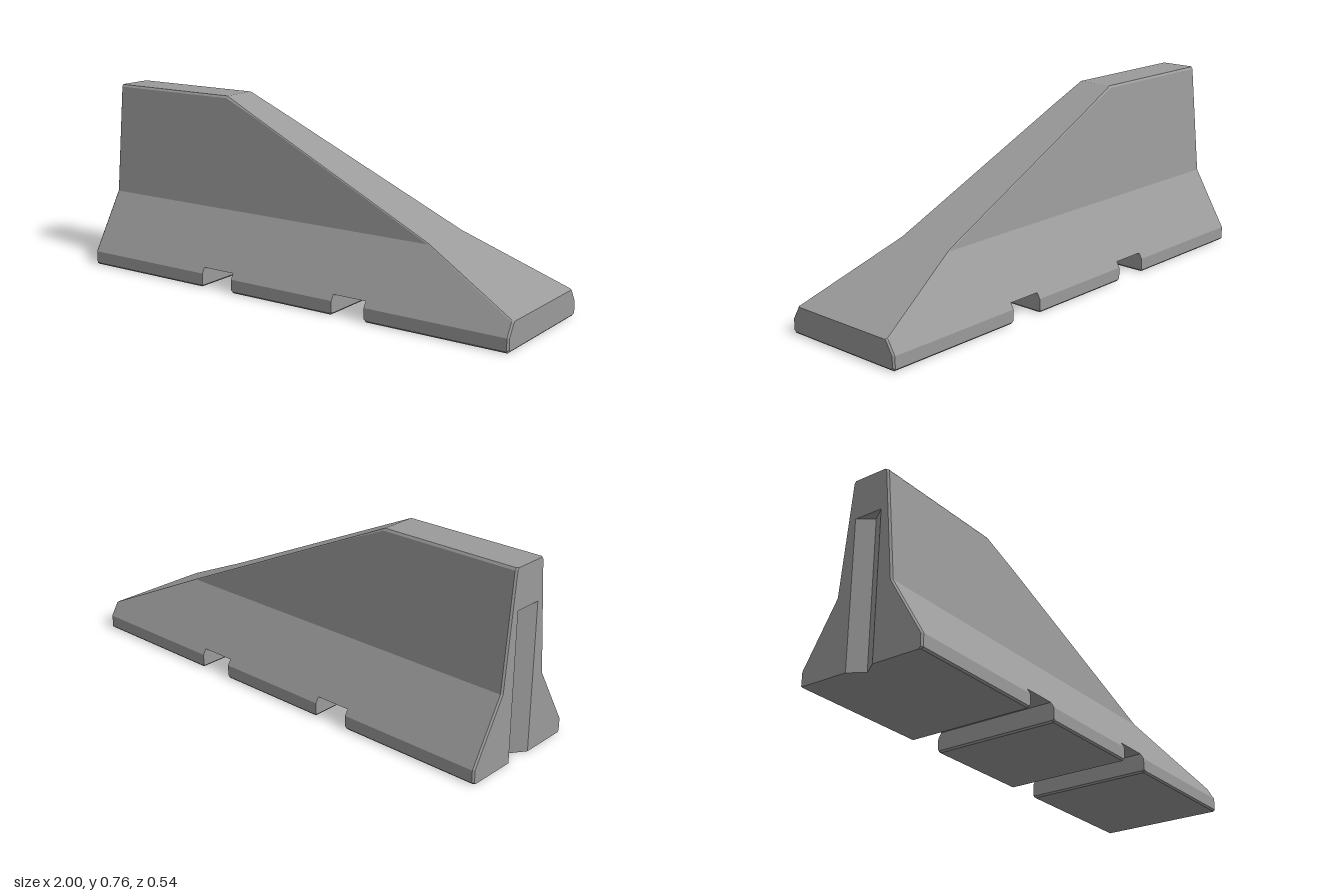
import * as THREE from 'three';

const HEIGHT = 0.763;
const BEVEL = 0.007;
const BEND = -0.41; // where the level top starts to slope down
const SLOPE = 0.463;
const CHANNEL_TOP = 0.08;

// half width of the barrier at height y
function halfWidth(y) {
  if (y <= 0.057) return 0.272;
  if (y <= 0.3) return THREE.MathUtils.mapLinear(y, 0.057, 0.3, 0.272, 0.127);
  return THREE.MathUtils.mapLinear(y, 0.3, HEIGHT, 0.127, 0.082);
}

const topHeight = (x) => HEIGHT - SLOPE * Math.max(0, x - BEND);

// top edge bevel, narrowing at the start of the slope
const topBevel = (x) => 0.009 - 0.005 * THREE.MathUtils.clamp((x - BEND) / 0.164, 0, 1);

// cross-section as [z, y], up the +z side and down the -z side
function section(x, base) {
  const h = topHeight(x);
  const isFoot = base < 0.05;
  const low = isFoot ? base + BEVEL : base;
  const edge = h - topBevel(x);
  const inset = Math.abs(x) === 1 ? BEVEL : 0; // bevelled upright end edges
  const half = [
    [halfWidth(base) - (isFoot ? BEVEL : 0), base],
    ...[low, Math.max(0.057, base), Math.min(0.3, edge), edge].map((y) => [halfWidth(y), y]),
    [halfWidth(h) - 0.6 * topBevel(x), h],
  ].map(([z, y]) => [z - inset, y]);
  return [...half, ...half.map(([z, y]) => [-z, y]).reverse()];
}

// flat-faced surface from quads given counter-clockwise
function quadSurface(quads) {
  const positions = [];
  for (const [a, b, c, d] of quads) positions.push(...a, ...b, ...c, ...a, ...c, ...d);
  const geometry = new THREE.BufferGeometry();
  geometry.setAttribute('position', new THREE.Float32BufferAttribute(positions, 3));
  geometry.computeVertexNormals();
  return geometry;
}

function flatShape(points) {
  return new THREE.ShapeGeometry(new THREE.Shape(points.map(([u, v]) => new THREE.Vector2(u, v))));
}

export function createModel() {
  const group = new THREE.Group();
  const material = new THREE.MeshStandardMaterial({ color: 0x9b9b9b, flatShading: true });
  const add = (name, geometry) => {
    const mesh = new THREE.Mesh(geometry, material);
    mesh.name = name;
    group.add(mesh);
  };

  // stations [x, underside height]: three feet with two channels between
  const knee = BEND + (HEIGHT - 0.304) / SLOPE;
  const stations = [
    [-1, 0], [-0.993, 0], [BEND, 0], [-0.403, 0], [-0.396, BEVEL],
    [-0.396, CHANNEL_TOP], [-0.246, CHANNEL_TOP],
    [-0.246, BEVEL], [-0.239, 0], [0.239, 0], [0.246, BEVEL],
    [0.246, CHANNEL_TOP], [0.394, CHANNEL_TOP],
    [0.394, BEVEL], [0.401, 0], [knee, 0], [0.993, 0], [1, BEVEL],
  ];
  const loops = stations.map(([x, base]) => section(x, base).map(([z, y]) => [x, y, z]));
  const quads = [];
  for (let s = 0; s < loops.length - 1; s++) {
    const a = loops[s], b = loops[s + 1], n = a.length;
    for (let i = 0; i < n; i++) {
      if (s < 3 && i === n - 1) continue; // grooved underside is separate
      const j = (i + 1) % n;
      quads.push([a[i], b[i], b[j], a[j]]);
    }
  }
  add('barrierBody', quadSurface(quads));

  // low end face
  add('lowEndFace', flatShape(section(1, BEVEL)).rotateY(Math.PI / 2).translate(1, 0, 0));

  // tall end face, cut by the V-shaped connection groove
  const grooveTop = 0.6, grooveHalf = 0.06, depth = 0.042;
  add('tallEndFace', flatShape([
    ...section(-1, 0),
    [-grooveHalf, 0], [-grooveHalf, grooveTop], [grooveHalf, grooveTop], [grooveHalf, 0],
  ]).rotateY(-Math.PI / 2).translate(-1, 0, 0));

  // groove walls and ceiling
  const path = [[-1, -grooveHalf], [-1 + depth, 0], [-1, grooveHalf]];
  add('grooveWalls', quadSurface(path.slice(1).map(([x1, z1], i) => {
    const [x0, z0] = path[i];
    return [[x0, 0, z0], [x1, 0, z1], [x1, grooveTop, z1], [x0, grooveTop, z0]];
  })));
  add('grooveCeiling', flatShape(path).rotateX(Math.PI / 2).translate(0, grooveTop, 0));

  // underside of the foot at the tall end
  add('tallFootUnderside', flatShape([
    ...path, [-1, 0.258], [-0.993, 0.265], [-0.403, 0.265],
    [-0.403, -0.265], [-0.993, -0.265], [-1, -0.258],
  ]).rotateX(Math.PI / 2));

  return group;
}
